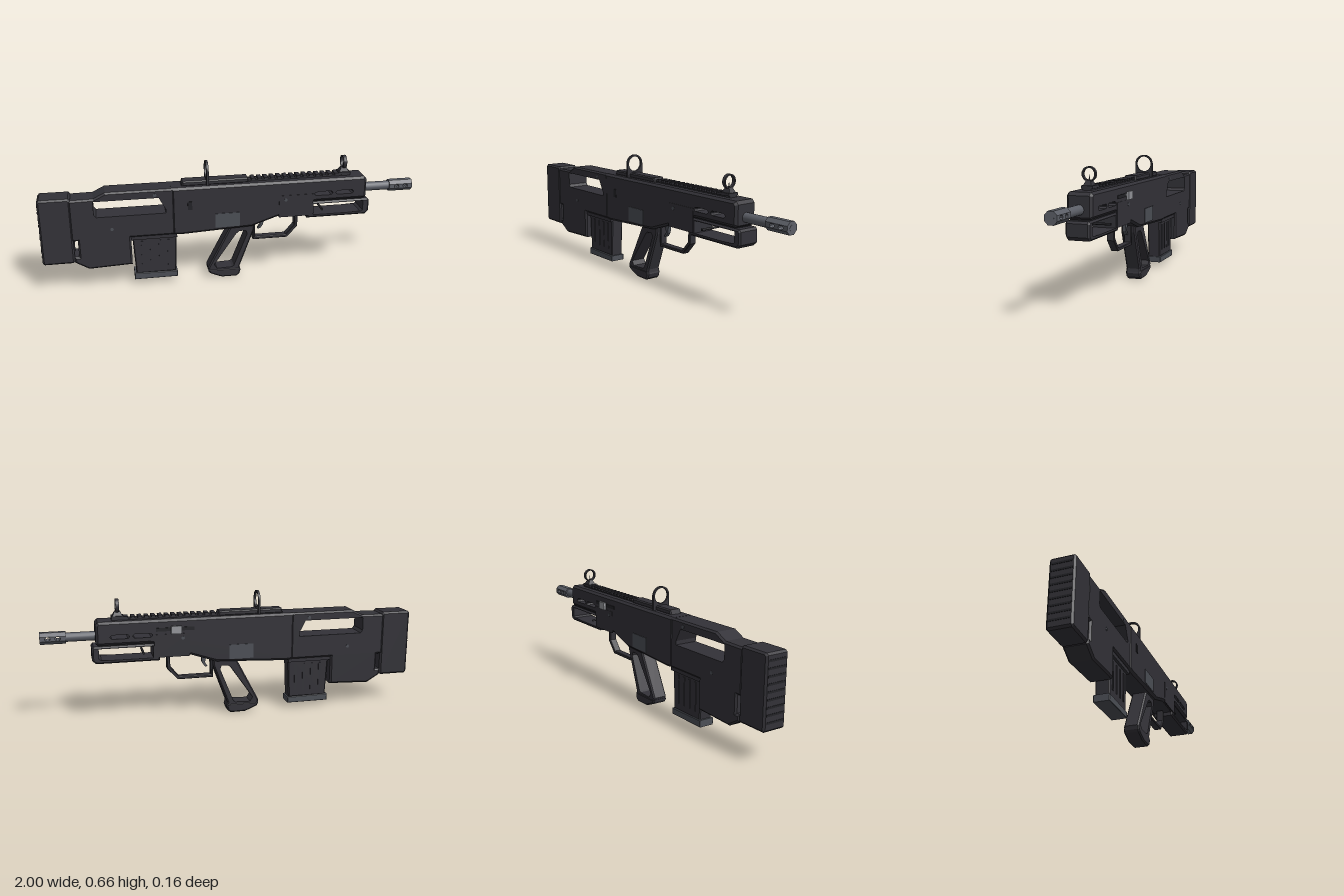
import * as THREE from 'three';

const paint = (name, color) => {
  const m = new THREE.MeshStandardMaterial({ color });
  m.name = name;
  return m;
};

export function createModel() {
  const body = paint('charcoal body', 0x333238);
  const dark = paint('near black trim', 0x232327);
  const steel = paint('barrel grey', 0x5c5f67);
  const plateGrey = paint('plate grey', 0x4c4f56);
  const bright = paint('bright steel', 0x94969b);

  const model = new THREE.Group();
  model.name = 'bullpupRifle';
  const root = new THREE.Group();
  root.name = 'rifle';
  root.position.z = 0.014; // the handle on the right side shifts the centre line
  model.add(root);

  const add = (name, geometry, material, x = 0, y = 0, z = 0) => {
    const mesh = new THREE.Mesh(geometry, material);
    mesh.name = name;
    mesh.position.set(x, y, z);
    root.add(mesh);
    return mesh;
  };
  const box = (name, mat, x0, x1, y0, y1, z0, z1) =>
    add(name, new THREE.BoxGeometry(x1 - x0, y1 - y0, z1 - z0), mat, (x0 + x1) / 2, (y0 + y1) / 2, (z0 + z1) / 2);
  const outline = (pts) => pts.map(([x, y]) => new THREE.Vector2(x, y));

  // Side profile extruded across the width; outer edges chamfered, holes straight
  const slab = (pts, width, bevel = 0, holes = []) => {
    const rim = outline(pts);
    if (THREE.ShapeUtils.isClockWise(rim)) rim.reverse();
    const shape = new THREE.Shape(rim);
    holes.forEach((h) => shape.holes.push(new THREE.Path(outline(h))));
    const g = new THREE.ExtrudeGeometry(shape, { depth: 3, steps: 3, bevelEnabled: false });
    const key = (x, y) => `${x.toFixed(4)},${y.toFixed(4)}`;
    const normal = (a, b) => new THREE.Vector2(b.y - a.y, a.x - b.x).normalize();
    const inset = new Map(rim.map((p, i) => {
      const n1 = normal(rim[(i + rim.length - 1) % rim.length], p);
      const n2 = normal(p, rim[(i + 1) % rim.length]);
      const k = -bevel / (1 + n1.dot(n2));
      return [key(p.x, p.y), n1.add(n2).multiplyScalar(k).add(p)];
    }));
    const layers = [-width / 2, bevel - width / 2, width / 2 - bevel, width / 2];
    const pos = g.attributes.position;
    for (let i = 0; i < pos.count; i++) {
      const layer = Math.round(pos.getZ(i));
      const q = inset.get(key(pos.getX(i), pos.getY(i)));
      if (q && layer % 3 === 0) pos.setXY(i, q.x, q.y);
      pos.setZ(i, layers[layer]);
    }
    g.computeVertexNormals();
    return g;
  };
  // Cross-section (z, y) extruded along x
  const alongX = (shape, x0, x1) =>
    new THREE.ExtrudeGeometry(shape, { depth: x1 - x0, bevelEnabled: false, curveSegments: 16 })
      .rotateY(Math.PI / 2).translate(x0, 0, 0);
  // Long hole with cut corners
  const slot = (x0, x1, y0, y1, c) => [
    [x0 + c, y0], [x1 - c, y0], [x1, y0 + c], [x1, y1 - c],
    [x1 - c, y1], [x0 + c, y1], [x0, y1 - c], [x0, y0 + c]];
  const pin = (r, length) => new THREE.CylinderGeometry(r, r, length, 10).rotateX(Math.PI / 2);

  // Butt pad with thin grip lines on its rear face
  add('buttPad', slab(slot(-0.998, -0.834, 0.162, 0.519, 0.01), 0.126, 0.009), body);
  for (let i = 0; i < 9; i++) {
    const y = 0.2 + i * 0.035;
    box('buttLine', dark, -1, -0.996, y, y + 0.01, -0.052, 0.052);
  }

  // Stock with window and notch
  add('stock', slab([
    [-0.845, 0.508], [-0.72, 0.51], [-0.66, 0.54], [-0.31, 0.54], [-0.31, 0.285], [-0.54, 0.285],
    [-0.54, 0.13], [-0.765, 0.121], [-0.835, 0.163], [-0.835, 0.195], [-0.812, 0.195],
    [-0.812, 0.284], [-0.845, 0.284],
  ], 0.122, 0.009, [[[-0.722, 0.496], [-0.39, 0.496], [-0.355, 0.43], [-0.355, 0.41], [-0.71, 0.41], [-0.722, 0.425]]]), body);

  // Receiver and handguard
  add('receiver', slab([
    [-0.325, 0.541], [0.712, 0.541], [0.725, 0.525], [0.725, 0.428], [0.715, 0.42], [0.42, 0.42],
    [0.42, 0.345], [0.24, 0.345], [0.1, 0.298], [-0.28, 0.28], [-0.325, 0.285],
  ], 0.126, 0.012, [slot(0.437, 0.537, 0.452, 0.473, 0.008), slot(0.555, 0.652, 0.452, 0.473, 0.008)]), body);

  // Open fore-end under the handguard
  add('foreEnd', slab([
    [0.4, 0.414], [0.738, 0.414], [0.747, 0.403], [0.747, 0.342], [0.728, 0.324], [0.4, 0.324],
  ], 0.118, 0.008, [[[0.435, 0.403], [0.712, 0.403], [0.712, 0.35], [0.7, 0.341], [0.435, 0.341]]]), body);
  box('foreEndMount', dark, 0.4, 0.71, 0.405, 0.425, -0.05, 0.05);
  add('foreEndPin', pin(0.006, 0.11), dark, 0.485, 0.367);

  // Details repeated on both flanks
  for (const s of [1, -1]) {
    const flank = (name, mat, x0, x1, y0, y1, t) =>
      box(name, mat, x0, x1, y0, y1, s > 0 ? 0.06 : -0.063 - t, s > 0 ? 0.063 + t : -0.06);
    flank('sidePlate', plateGrey, -0.098, 0.032, 0.31, 0.388, 0.003);
    flank('foreCover', body, 0.244, 0.43, 0.342, 0.464, 0.002);
    [[-0.635, 0.34, 0.059], [0.28, 0.44, 0.063], [-0.41, 0.512, 0.059]].forEach(([x, y, z]) =>
      add('bodyPin', pin(0.009, 0.008), plateGrey, x, y, s * z));
  }
  box('selectorSlot', dark, -0.242, -0.219, 0.42, 0.465, 0.06, 0.066);

  // Charging handle on the right side
  box('handleTrack', dark, 0.22, 0.42, 0.48, 0.498, -0.066, -0.055);
  add('handleShaft', pin(0.009, 0.03), bright, 0.317, 0.489, -0.068);
  box('handleKnob', bright, 0.29, 0.344, 0.469, 0.51, -0.092, -0.078);

  // Top rail
  box('railBase', body, -0.25, 0.64, 0.535, 0.549, -0.022, 0.022);
  add('railCover', slab([[-0.27, 0.538], [-0.262, 0.565], [0.08, 0.565], [0.088, 0.538]], 0.066, 0.006), body);
  for (let i = 0; i < 15; i++) box('railTooth', body, 0.1 + i * 0.035, 0.121 + i * 0.035, 0.547, 0.559, -0.028, 0.028);

  // Rear sight: arched plate around a round opening
  const arch = new THREE.Shape();
  arch.moveTo(-0.049, 0.53).lineTo(0.049, 0.53).lineTo(0.049, 0.613);
  arch.absarc(0, 0.613, 0.049, 0, Math.PI, false);
  arch.holes.push(new THREE.Path().absarc(0, 0.613, 0.04, 0, Math.PI * 2, true));
  add('rearSight', alongX(arch, -0.14, -0.128), body);

  // Front sight: ring, post and tapered foot
  const ring = new THREE.Shape().absarc(0, 0.613, 0.035, 0, Math.PI * 2, false);
  ring.holes.push(new THREE.Path().absarc(0, 0.613, 0.028, 0, Math.PI * 2, true));
  add('frontSightRing', alongX(ring, 0.599, 0.617), body);
  add('frontSightPost', new THREE.ConeGeometry(0.005, 0.036, 8), body, 0.608, 0.596);
  box('frontSightBase', body, 0.577, 0.64, 0.549, 0.562, -0.028, 0.028);
  const foot = new THREE.CylinderGeometry(0.018, 0.038, 0.026, 4).toNonIndexed().rotateY(Math.PI / 4).scale(1, 1, 0.8);
  foot.computeVertexNormals();
  add('frontSightFoot', foot, body, 0.608, 0.573);

  // Barrel and octagonal muzzle brake with cross slots
  add('barrel', new THREE.CylinderGeometry(0.024, 0.024, 0.17, 16).rotateZ(Math.PI / 2), steel, 0.795, 0.462);
  add('muzzleCore', slab([[0.87, 0.45], [0.999, 0.45], [0.999, 0.474], [0.87, 0.474]], 0.06, 0,
    [slot(0.897, 0.924, 0.452, 0.472, 0.007), slot(0.947, 0.974, 0.452, 0.472, 0.007)]), steel);
  for (const s of [1, -1]) {
    const cap = new THREE.Shape(outline([[-0.03, 0.462 + s * 0.012], [0.03, 0.462 + s * 0.012], [0.013, 0.462 + s * 0.03], [-0.013, 0.462 + s * 0.03]]));
    add('muzzleShell', alongX(cap, 0.87, 0.999), steel);
  }
  add('muzzleBore', new THREE.CylinderGeometry(0.015, 0.015, 0.004, 12).rotateZ(Math.PI / 2), steel, 0.998, 0.462);

  // Open-frame pistol grip
  add('grip', slab([
    [-0.01, 0.305], [0.118, 0.305], [0.115, 0.27], [0.038, 0.06], [0.042, 0.035], [0.03, 0.012],
    [-0.08, 0.012], [-0.13, 0.034], [-0.136, 0.062], [-0.02, 0.285],
  ], 0.08, 0.007, [[[0.035, 0.268], [0.07, 0.27], [0.078, 0.25], [0.005, 0.066], [-0.005, 0.059], [-0.088, 0.056], [-0.103, 0.08], [0.018, 0.255]]]), body);
  add('gripFoot', slab([[-0.134, 0.04], [-0.126, 0.028], [-0.08, 0.008], [-0.06, 0.001], [0.02, 0], [0.036, 0.012], [0.043, 0.035], [0.038, 0.052], [-0.136, 0.052]], 0.084, 0.007), body);

  // Trigger and its guard
  add('triggerGuard', slab([
    [0.114, 0.31], [0.114, 0.203], [0.304, 0.203], [0.36, 0.265], [0.36, 0.325], [0.343, 0.335],
    [0.343, 0.274], [0.296, 0.219], [0.126, 0.219], [0.126, 0.31],
  ], 0.04, 0.003), body);
  add('trigger', slab([[0.145, 0.325], [0.175, 0.325], [0.171, 0.285], [0.155, 0.262], [0.14, 0.262], [0.155, 0.285]], 0.018), plateGrey);

  // Magazine with ribs and floor plate
  add('magazine', slab([[-0.535, 0.3], [-0.3, 0.3], [-0.31, 0.062], [-0.522, 0.062]], 0.072, 0.005), body);
  for (const s of [1, -1])
    for (let i = 0; i < 4; i++) box('magazineRib', body, -0.49 + i * 0.046, -0.478 + i * 0.046, 0.1, 0.25, s * 0.036 - 0.003, s * 0.036 + 0.003);
  box('magazineCollar', body, -0.54, -0.3, 0.265, 0.295, -0.05, 0.05);
  add('magazineFloor', slab([[-0.532, 0.03], [-0.303, 0.03], [-0.302, 0.062], [-0.532, 0.066]], 0.082, 0.002), plateGrey);

  return model;
}
